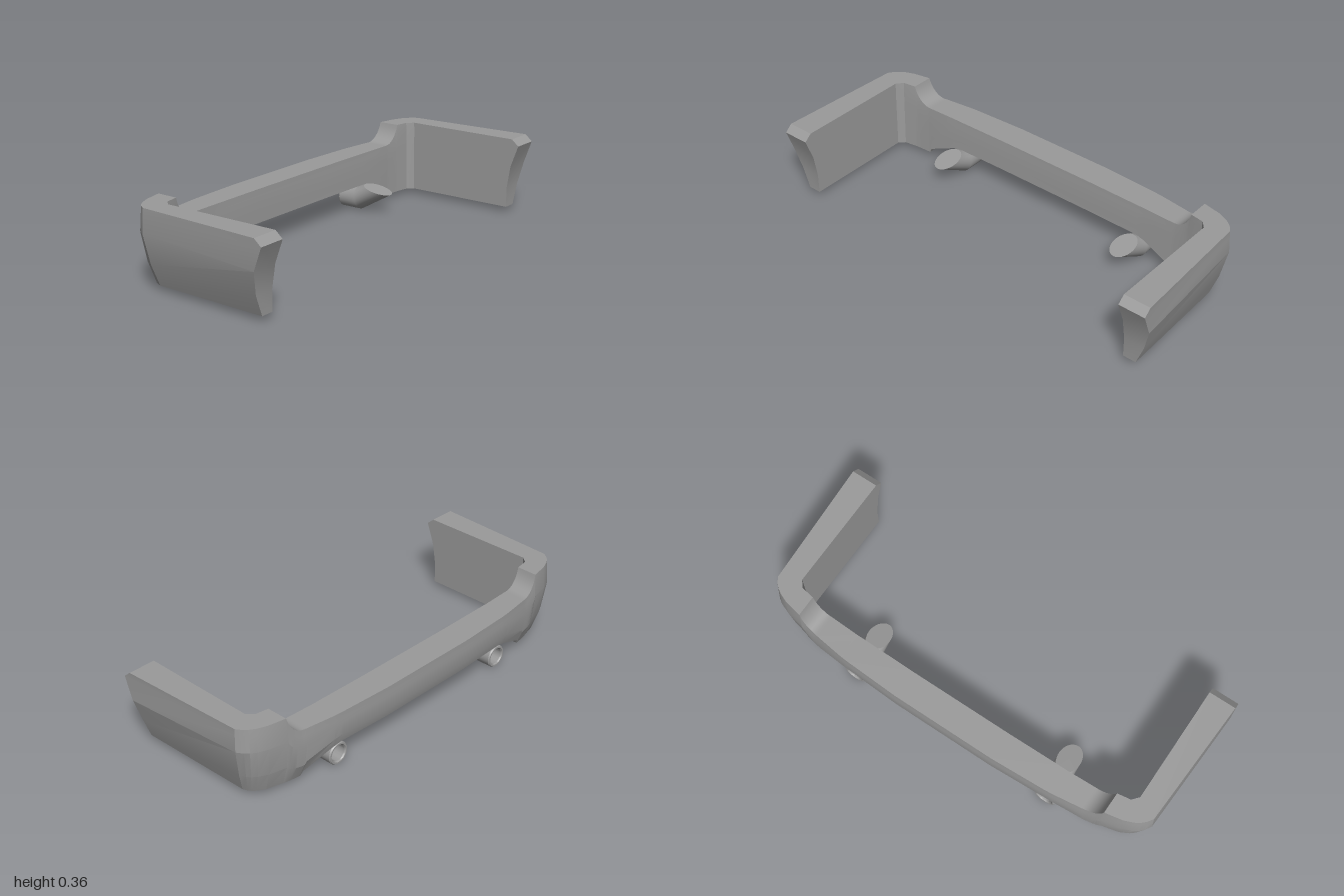
import * as THREE from 'three';
import { toCreasedNormals } from 'three/addons/utils/BufferGeometryUtils.js';

// Skin closed rings of [x, y, z] points; extra holds loose triangles for end caps.
function loft(rings, crease, extra = []) {
  const out = [...extra];
  for (let i = 0; i < rings.length - 1; i++) {
    const r = rings[i], s = rings[i + 1], n = r.length;
    for (let j = 0; j < n; j++) {
      const k = (j + 1) % n;
      out.push(r[j], r[k], s[j], r[k], s[k], s[j]);
    }
  }
  const geo = new THREE.BufferGeometry();
  geo.setAttribute('position', new THREE.Float32BufferAttribute(out.flat(), 3));
  return toCreasedNormals(geo, crease);
}

function mesh(name, geo) {
  const m = new THREE.Mesh(geo, new THREE.MeshStandardMaterial({ color: 0x9a9a9a }));
  m.name = name;
  return m;
}

// Bumper stations: outer x, z, inner x, z, top, bottom, tuck-under, facing angle
const WING = [
  [1.00, 0.355, 0.873, 0.355, 0.36, 0.025, 1, 0],
  [0.975, -0.25, 0.873, -0.20, 0.36, 0.025, 1, 0.55],
  [0.957, -0.279, 0.866, -0.208, 0.36, 0.025, 0.95, 0.72],
  [0.94, -0.296, 0.86, -0.215, 0.36, 0.025, 0.9, 0.88],
  [0.915, -0.313, 0.853, -0.223, 0.36, 0.025, 0.85, 1.05],
  [0.87, -0.331, 0.847, -0.23, 0.36, 0.025, 0.75, 1.25],
];
// Concave sweep from the raised corner down to the middle bar
const STEPS = 8;
const SWEEP = Array.from({ length: STEPS + 1 }, (_, i) => {
  const u = i / STEPS, t = 0.3 + u * (Math.PI / 2 - 0.3);
  const x = 0.70 + 0.089 * Math.cos(t), top = 0.397 - 0.125 * Math.sin(t);
  return [x, -0.347 - 0.012 * u, x, -0.24 - 0.005 * u, top, 0.025, 0.65 - 0.05 * u, 1.45 + 0.12 * u];
});
const BAR = [
  [0.69, -0.360, 0.69, -0.245, 0.272, 0.047, 0.5, 1.57],
  [0.55, -0.375, 0.55, -0.25, 0.271, 0.11, 0.22, 1.57],
  [0.51, -0.378, 0.51, -0.25, 0.271, 0.12, 0.2, 1.57],
  [0.25, -0.39, 0.25, -0.253, 0.271, 0.12, 0.2, 1.57],
];
const FRONT_Z = [0.355, 0.39, 0.352, 0.335, 0.335];
const INSET = [0, 0, 0, 0.03, 0.065];
const LEAN = [0.012, 0.008, 0, 0, 0]; // upper back face leans inwards

function section([ox, oz, ix, iz, top, bottom, tuck, angle], index) {
  const first = index === 0, h = top - bottom, back = Math.sin(angle);
  const ys = [top, top - 0.03, bottom + h * (first ? 0.6 : 0.68), bottom + h * 0.28, bottom];
  const outer = ys.map((y, k) => {
    let d = (INSET[k] + LEAN[k] * back) * tuck;
    if (k === 3) d *= tuck; // lower crease fades out towards the middle
    return [ox - d * Math.cos(angle), y, first ? FRONT_Z[k] : oz + d * back];
  });
  const inner = ys.map((y, k) => [ix, y, first ? FRONT_Z[k] : iz + 0.002 * k * back]);
  return [...outer, ...inner.reverse()];
}

function bumperGeometry() {
  const half = [...WING, ...SWEEP, ...BAR].map(section);
  const other = half.map(r => r.map(([x, y, z]) => [-x, y, z])).reverse();
  const rings = [...half, ...other];
  // Shaped ends of the side wings
  const caps = [];
  const a = rings[0], b = rings[rings.length - 1];
  for (let k = 0; k < 4; k++) {
    const p = k + 1, q = 9 - k, r = 8 - k;
    caps.push(a[k], a[q], a[r], a[k], a[r], a[p]);
    caps.push(b[k], b[r], b[q], b[k], b[p], b[r]);
  }
  return loft(rings, 0.26, caps);
}

// Exhaust pipe: open rolled lip at the back, bend, then a slanted cut at the front
function pipeGeometry() {
  const N = 28;
  // radius, bottom y, bottom z, top y, top z
  const rows = [
    [0, 0.053, -0.29, 0.053, -0.29],
    [0.038, 0.015, -0.29, 0.091, -0.29],
    [0.038, 0.015, -0.348, 0.091, -0.348],
    [0.042, 0.011, -0.354, 0.095, -0.354],
    [0.049, 0.004, -0.354, 0.102, -0.354],
    [0.053, 0, -0.348, 0.106, -0.348],
    [0.053, 0, -0.247, 0.106, -0.272],
    [0.053, 0.095, -0.083, 0.125, -0.23],
    [0, 0.11, -0.1565, 0.11, -0.1565],
  ];
  return loft(rows.map(([r, y0, z0, y1, z1]) =>
    Array.from({ length: N }, (_, j) => {
      const t = (j / N) * Math.PI * 2, f = (Math.sin(t) + 1) / 2;
      return [r * Math.cos(t), y0 + (y1 - y0) * f, z0 + (z1 - z0) * f];
    })), 0.42);
}

export function createModel() {
  const group = new THREE.Group();
  group.name = 'rearBumper';
  group.add(mesh('bumperShell', bumperGeometry()));
  for (const [name, side] of [['leftExhaust', 1], ['rightExhaust', -1]]) {
    const pipe = mesh(name, pipeGeometry());
    pipe.position.x = side * 0.51;
    group.add(pipe);
  }
  return group;
}
